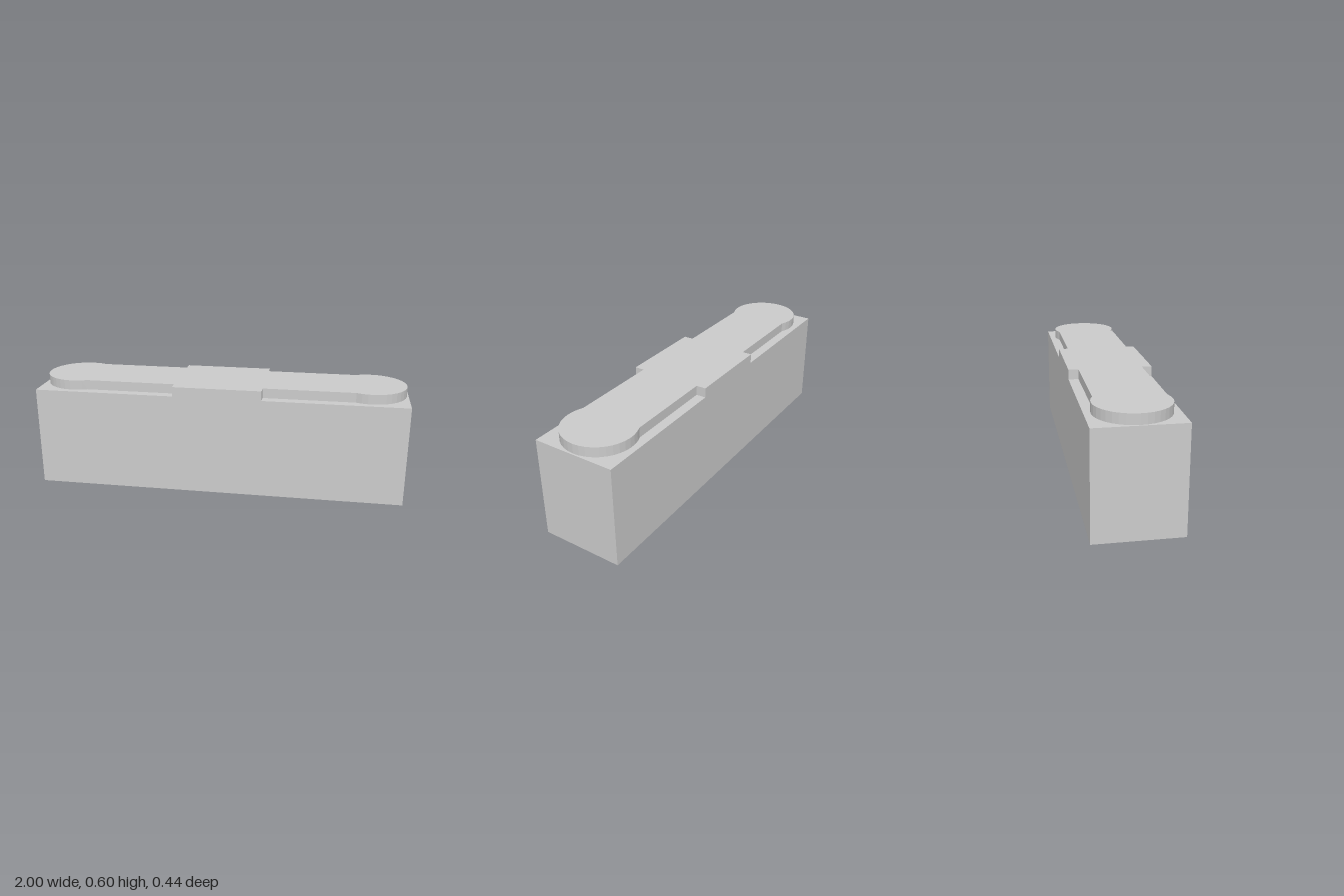
import * as THREE from 'three';

const LENGTH = 2, DEPTH = 0.44, BODY_TOP = 0.543, TOTAL = 0.595;
const BRIDGE_X = 0.238;                // half length of the full-depth middle
const ARM_Z = 0.168;                   // half depth of the arms
const END_X = 0.805, END_R = 0.187;    // round ends

// Outline of the raised top: full-depth middle, two arms, round ends
function plateauShape() {
  const a = Math.asin(ARM_Z / END_R), h = DEPTH / 2;
  const s = new THREE.Shape();
  s.moveTo(BRIDGE_X, -h);
  s.lineTo(BRIDGE_X, -ARM_Z);
  s.absarc(END_X, 0, END_R, a - Math.PI, Math.PI - a, false);
  s.lineTo(BRIDGE_X, ARM_Z);
  s.lineTo(BRIDGE_X, h);
  s.lineTo(-BRIDGE_X, h);
  s.lineTo(-BRIDGE_X, ARM_Z);
  s.absarc(-END_X, 0, END_R, a, 2 * Math.PI - a, false);
  s.lineTo(-BRIDGE_X, -ARM_Z);
  s.lineTo(-BRIDGE_X, -h);
  s.closePath();
  return s;
}

export function createModel() {
  const group = new THREE.Group();
  group.name = 'steppedBlock';
  const material = new THREE.MeshStandardMaterial({ color: 0xcccccc });

  // Solid rectangular body
  const body = new THREE.Mesh(new THREE.BoxGeometry(LENGTH, BODY_TOP, DEPTH), material);
  body.name = 'body';
  body.position.y = BODY_TOP / 2;
  group.add(body);

  // Raised top, laid flat on the body
  const geometry = new THREE.ExtrudeGeometry(plateauShape(), {
    depth: TOTAL - BODY_TOP, bevelEnabled: false, curveSegments: 12,
  });
  geometry.rotateX(-Math.PI / 2);
  const plateau = new THREE.Mesh(geometry, material);
  plateau.name = 'raisedTop';
  plateau.position.y = BODY_TOP;
  group.add(plateau);

  return group;
}
